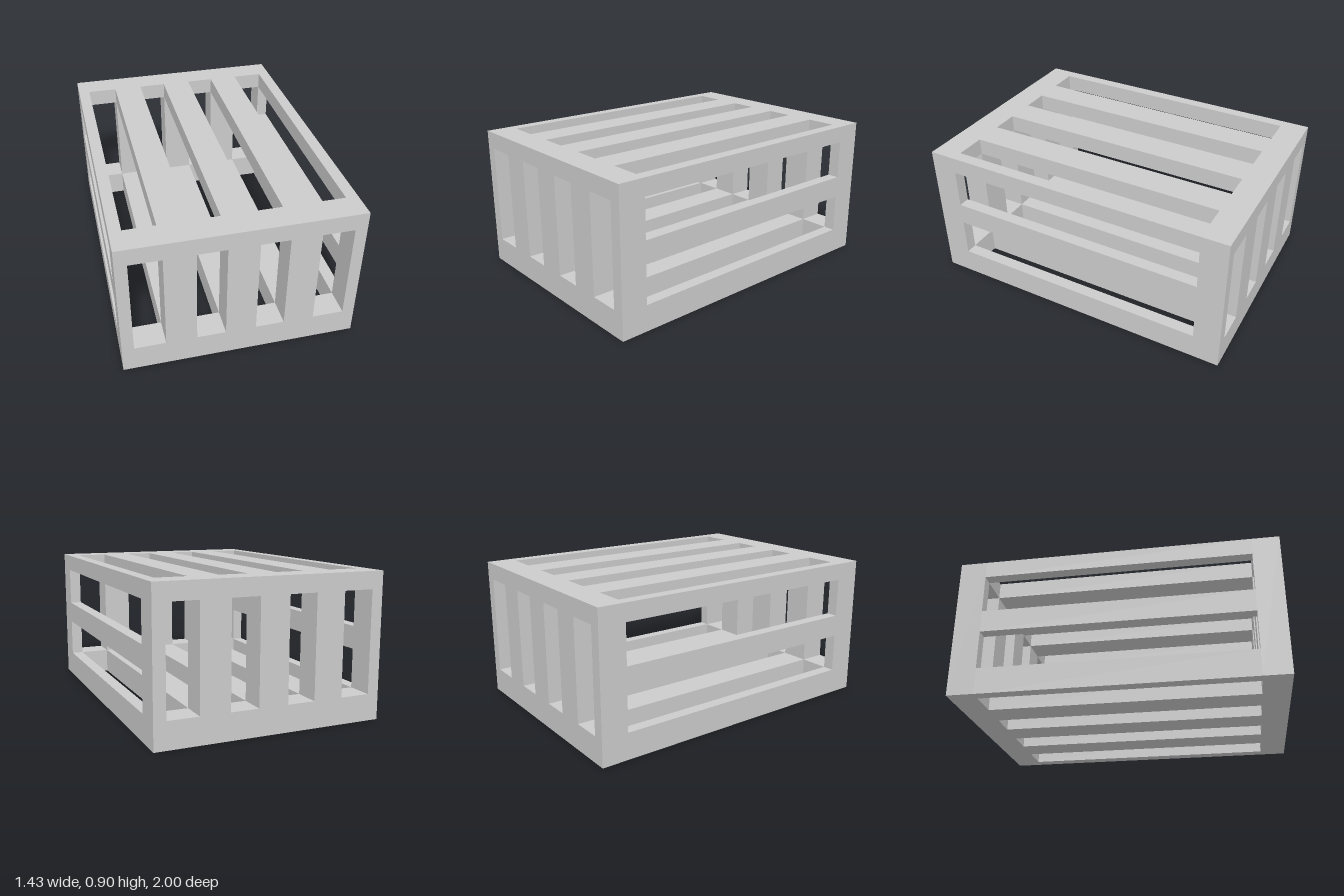
import * as THREE from 'three';

const W = 0.717, H = 0.905, D = 1;            // half width, height, half depth
const INNER_Z = 0.832;                        // inside faces of the end panels
const FLOOR = 0.165, CEILING = 0.798;         // inside faces of floor and roof
const SLOTS = [[-0.645, -0.455], [-0.27, -0.095], [0.09, 0.265], [0.45, 0.643]];

const material = new THREE.MeshStandardMaterial({ color: 0xcccccc, flatShading: true });

function rect(Type, x0, x1, y0, y1) {
  const r = new Type();
  r.moveTo(x0, y0);
  r.lineTo(x1, y0);
  r.lineTo(x1, y1);
  r.lineTo(x0, y1);
  r.closePath();
  return r;
}

// End wall with four upright slots
function endPanel(name, z) {
  const shape = rect(THREE.Shape, -W, W, 0, H);
  shape.holes = SLOTS.map(([a, b]) => rect(THREE.Path, a, b, FLOOR, CEILING));
  const geometry = new THREE.ExtrudeGeometry(shape, { depth: D - INNER_Z, bevelEnabled: false });
  const mesh = new THREE.Mesh(geometry, material);
  mesh.name = name;
  mesh.position.z = z;
  return mesh;
}

// Bar running from end panel to end panel
function bar(name, x0, x1, y0, y1) {
  const mesh = new THREE.Mesh(new THREE.BoxGeometry(x1 - x0, y1 - y0, INNER_Z * 2), material);
  mesh.name = name;
  mesh.position.set((x0 + x1) / 2, (y0 + y1) / 2, 0);
  return mesh;
}

export function createModel() {
  const crate = new THREE.Group();
  crate.name = 'slattedCrate';
  crate.add(endPanel('frontPanel', INNER_Z), endPanel('backPanel', -D));

  const levels = { bottom: [0, FLOOR], middle: [0.41, 0.552], top: [CEILING, H] };

  // Side rails; the bottom and top ones form the long edges
  for (const [level, [y0, y1]] of Object.entries(levels)) {
    crate.add(bar(`${level}RailRight`, -W, SLOTS[0][0], y0, y1));
    crate.add(bar(`${level}RailLeft`, SLOTS[3][1], W, y0, y1));
  }

  // Floor and roof slats between the slots
  for (let i = 0; i < SLOTS.length - 1; i++) {
    for (const level of ['bottom', 'top']) {
      crate.add(bar(`${level}Slat${i + 1}`, SLOTS[i][1], SLOTS[i + 1][0], ...levels[level]));
    }
  }
  return crate;
}
